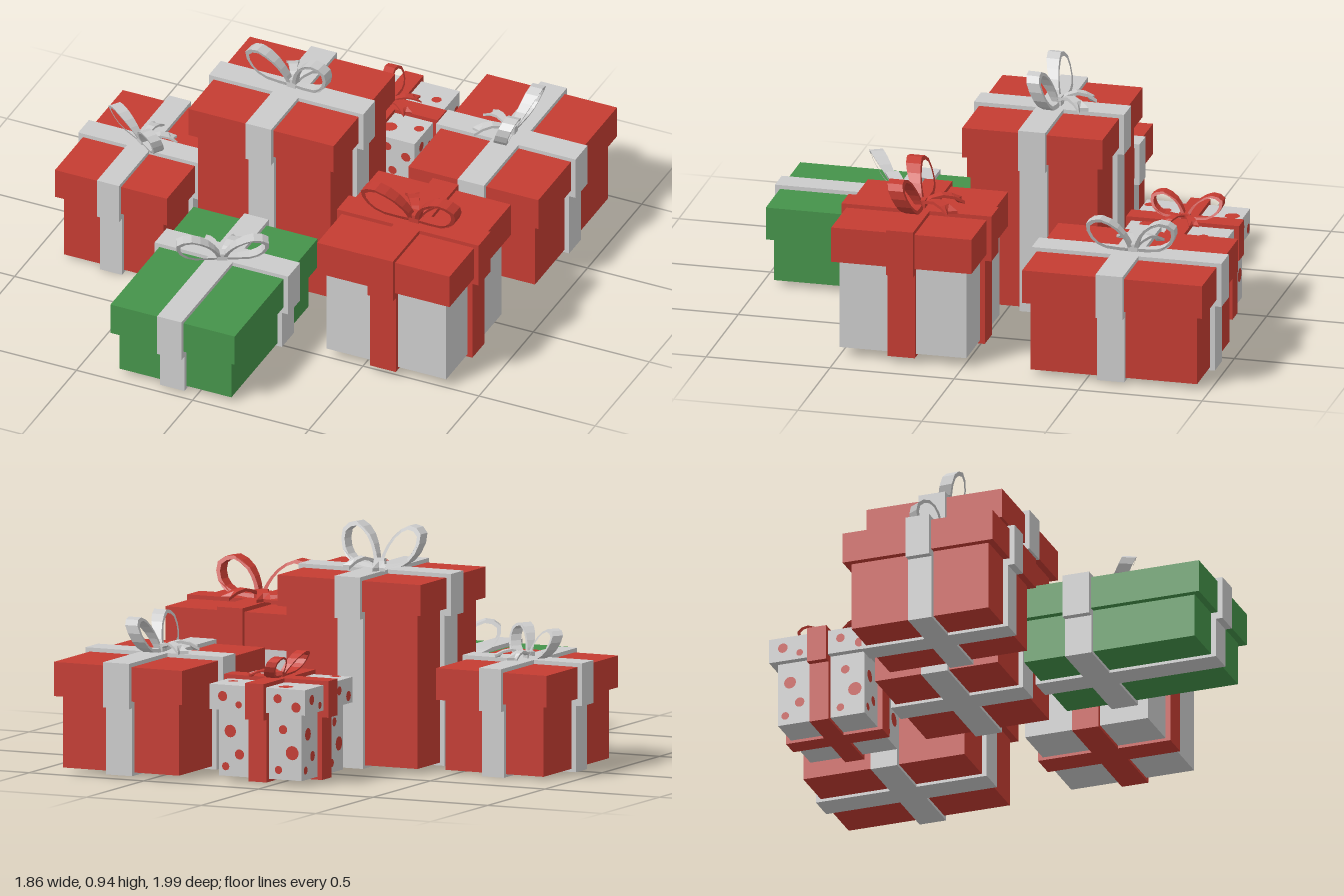
import * as THREE from 'three';

const mat = (color) => new THREE.MeshStandardMaterial({ color, flatShading: true });
const RED = mat(0xc43c32), GREEN = mat(0x45934a), GREY = mat(0xcccccc);
const INSET = 0.027; // lid overhang beyond the body
const OUT = 0.02;    // ribbon thickness

// Box given by its limits on each axis
function block(name, material, [x0, x1], [y0, y1], [z0, z1]) {
  const mesh = new THREE.Mesh(new THREE.BoxGeometry(x1 - x0, y1 - y0, z1 - z0), material);
  mesh.position.set((x0 + x1) / 2, (y0 + y1) / 2, (z0 + z1) / 2);
  mesh.name = name;
  return mesh;
}

const grow = ([a, b], d) => [a - d, b + d];

// Teardrop ribbon loop, narrow at the knot and leaning forward
function bowLoop(side, material) {
  const outline = [[0, 0], [0.12, 0.012], [0.185, 0.06], [0.2, 0.13], [0.135, 0.157], [0.06, 0.115], [0.015, 0.05]]
    .map(([x, y]) => new THREE.Vector2(x * side, y));
  const curve = new THREE.SplineCurve([...outline, outline[0]]);
  const points = curve.getPoints(14).slice(0, -1);
  const shape = new THREE.Shape(points);
  const centre = new THREE.Vector2(0.115 * side, 0.085);
  shape.holes.push(new THREE.Path(points.map((p) => p.clone().lerp(centre, 0.2))));
  const geo = new THREE.ExtrudeGeometry(shape, { depth: 1, bevelEnabled: false });
  const p = geo.attributes.position;
  for (let i = 0; i < p.count; i++) {
    const reach = Math.min(1, Math.hypot(p.getX(i), p.getY(i)) / 0.16);
    const width = 0.025 + 0.035 * reach;
    p.setZ(i, (p.getZ(i) - 0.5) * width + 0.4 * p.getY(i));
  }
  geo.computeVertexNormals();
  const mesh = new THREE.Mesh(geo, material);
  mesh.name = side > 0 ? 'bowLoopLeft' : 'bowLoopRight';
  return mesh;
}

// Arched loose end with a notched tip, pointing backward
function bowTail(side, material) {
  const geo = new THREE.BoxGeometry(1, 0.012, 1, 2, 1, 4);
  const p = geo.attributes.position;
  for (let i = 0; i < p.count; i++) {
    const t = 0.5 - p.getZ(i), x = p.getX(i);
    const notch = t > 0.99 && Math.abs(x) < 0.1 ? 0.025 : 0;
    p.setXYZ(i, x * (0.022 + 0.035 * t),
      p.getY(i) + 0.012 + 0.03 * Math.sin(Math.PI * t),
      -0.17 * t + notch);
  }
  geo.computeVertexNormals();
  const mesh = new THREE.Mesh(geo, material);
  mesh.name = side > 0 ? 'bowTailLeft' : 'bowTailRight';
  mesh.rotation.y = -side * 0.52;
  return mesh;
}

function bow(material) {
  const group = new THREE.Group();
  group.name = 'bow';
  for (const side of [1, -1]) group.add(bowLoop(side, material), bowTail(side, material));
  group.add(block('bowKnot', material, [-0.022, 0.022], [0, 0.035], [-0.02, 0.024]));
  return group;
}

// Lidded box with crossing ribbons and a bow; x and z are the limits of the lid
function present(o) {
  const group = new THREE.Group();
  group.name = o.name;
  const { x, z, base, seam, top, rx, rz } = o;
  const bx = grow(x, -INSET), bz = grow(z, -INSET);
  const lidBand = [seam - 0.028, top + 0.016], bodyBand = [base, seam];
  group.add(
    block('body', o.body, bx, [base + 0.012, seam], bz),
    block('lid', o.lid, x, [seam, top], z),
    block('lidRibbonLengthwise', o.ribbon, rx, lidBand, grow(z, OUT)),
    block('lidRibbonCrosswise', o.ribbon, grow(x, OUT), lidBand, rz),
    block('bodyRibbonLengthwise', o.ribbon, rx, bodyBand, grow(bz, OUT)),
    block('bodyRibbonCrosswise', o.ribbon, grow(bx, OUT), bodyBand, rz),
  );
  const b = bow(o.ribbon);
  b.position.set((rx[0] + rx[1]) / 2 + (o.shift?.[0] ?? 0), top + 0.014, (rz[0] + rz[1]) / 2 + (o.shift?.[1] ?? 0));
  b.rotation.y = THREE.MathUtils.degToRad(o.turn);
  b.scale.set(o.size[0], o.size[1], o.size[0]);
  group.add(b);
  return group;
}

// Round spots on the top and the four sides of the small box
function spots(o) {
  const group = new THREE.Group();
  group.name = 'spots';
  const cx = (o.x[0] + o.x[1]) / 2, cz = (o.z[0] + o.z[1]) / 2, half = (o.x[1] - o.x[0]) / 2;
  const spot = (r) => {
    const mesh = new THREE.Mesh(new THREE.CircleGeometry(r, 16), RED);
    mesh.name = 'spot';
    return mesh;
  };
  for (const [x, z, r] of [[-0.045, -0.85, 0.03], [0.21, -0.8, 0.02], [-0.12, -0.64, 0.015],
    [-0.045, -0.585, 0.02], [0.125, -0.55, 0.03], [0.235, -0.585, 0.02], [-0.09, -0.505, 0.02]]) {
    const s = spot(r);
    s.rotation.x = -Math.PI / 2;
    s.position.set(x, o.top + 0.002, z);
    group.add(s);
  }
  const side = [[-0.15, 0.34, 0.02], [-0.08, 0.31, 0.014], [0.09, 0.345, 0.018], [0.17, 0.315, 0.02],
    [-0.13, 0.2, 0.025], [-0.09, 0.11, 0.02], [-0.15, 0.06, 0.016], [0.1, 0.22, 0.018], [0.14, 0.13, 0.028], [0.08, 0.06, 0.016]];
  for (let k = 0; k < 4; k++) {
    const face = new THREE.Group();
    face.name = 'spotFace';
    face.position.set(cx, 0, cz);
    face.rotation.y = k * Math.PI / 2;
    for (const [u, y, r] of side) {
      const s = spot(r);
      s.position.set(u, y, half + 0.002 - (y < o.seam ? INSET : 0));
      face.add(s);
    }
    group.add(face);
  }
  return group;
}

export function createModel() {
  const model = new THREE.Group();
  model.name = 'presents';
  const red = { body: RED, lid: RED, ribbon: GREY };
  const small = {
    name: 'spottedPresent', body: GREY, lid: GREY, ribbon: RED,
    x: [-0.15, 0.265], z: [-0.895, -0.48], base: 0.01, seam: 0.285, top: 0.385,
    rx: [0.02, 0.1], rz: [-0.73, -0.65], turn: -90, size: [0.72, 0.6],
  };
  const list = [
    { name: 'rightRedPresent', ...red, x: [-0.91, -0.428], z: [-0.305, 0.32], base: 0, seam: 0.29, top: 0.415,
      rx: [-0.72, -0.625], rz: [-0.035, 0.063], turn: -33, size: [0.78, 0.8] },
    { name: 'tallPresent', ...red, x: [-0.405, 0.22], z: [-0.395, 0.17], base: 0.01, seam: 0.63, top: 0.752,
      rx: [-0.15, -0.04], rz: [-0.17, -0.06], turn: -4, size: [0.88, 1.1], shift: [0, -0.02] },
    { name: 'greenPresent', body: GREEN, lid: GREEN, ribbon: GREY, x: [-0.365, 0.17], z: [0.21, 0.975], base: 0.01,
      seam: 0.198, top: 0.33, rx: [-0.155, -0.05], rz: [0.415, 0.525], turn: 28, size: [0.9, 0.83], shift: [0, 0.04] },
    { name: 'leftFrontPresent', body: GREY, lid: RED, ribbon: RED, x: [0.315, 0.885], z: [-0.04, 0.525], base: 0.025,
      seam: 0.398, top: 0.54, rx: [0.54, 0.65], rz: [0.19, 0.3], turn: 0, size: [1, 1], shift: [0.01, -0.01] },
    { name: 'leftBackPresent', ...red, x: [0.345, 0.905], z: [-0.975, -0.25], base: 0.01, seam: 0.305, top: 0.44,
      rx: [0.567, 0.68], rz: [-0.66, -0.55], turn: 92, size: [0.88, 0.95], shift: [-0.01, -0.02] },
    small,
  ];
  for (const o of list) model.add(present(o));
  model.getObjectByName('spottedPresent').add(spots(small));
  return model;
}
